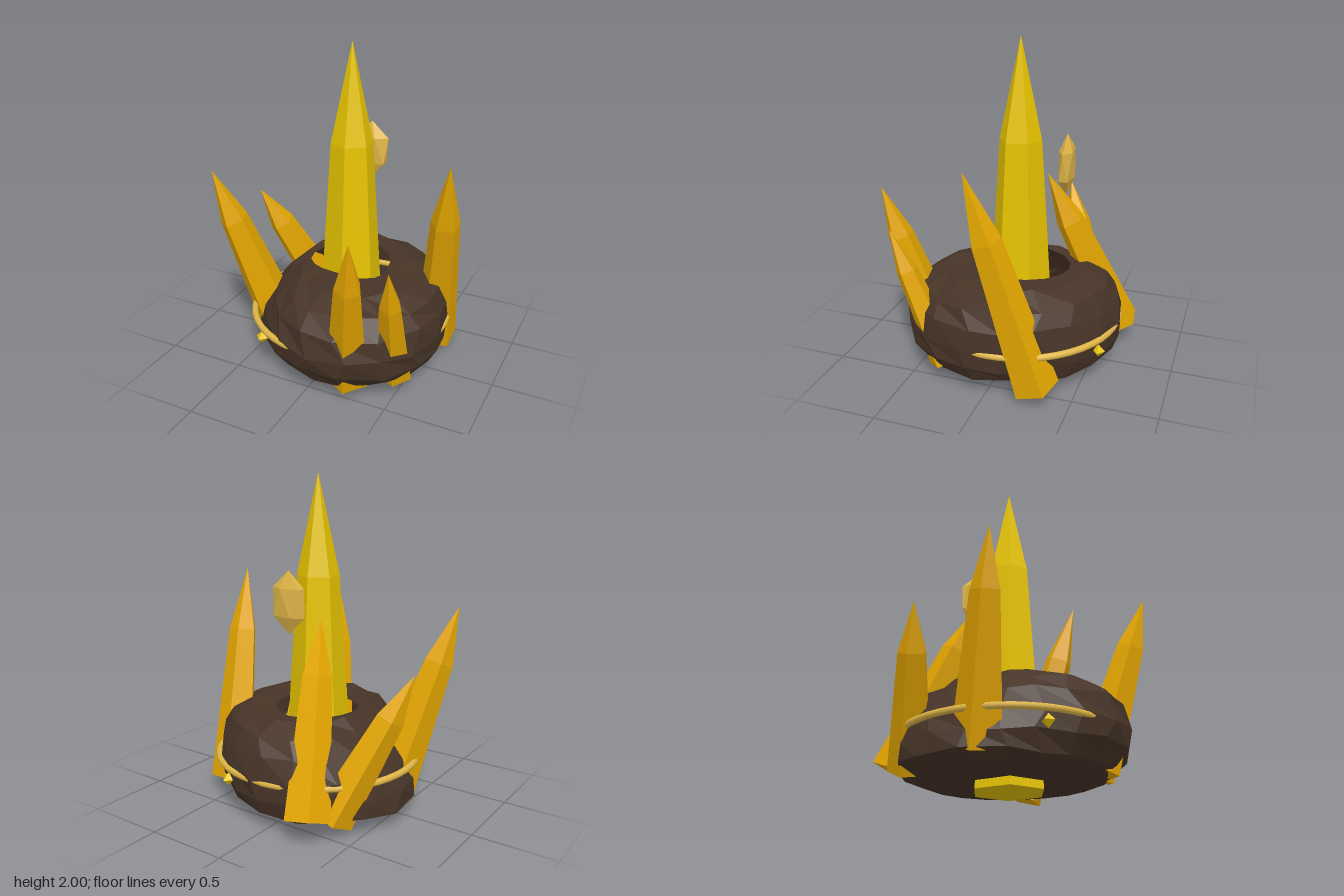
import * as THREE from 'three';

const mat = (name, color) => {
  const m = new THREE.MeshStandardMaterial({ color });
  m.name = name;
  return m;
};

// Faceted copy of a geometry: every face gets its own normal
const facet = (geo) => {
  const g = geo.toNonIndexed();
  g.computeVertexNormals();
  return g;
};

// Pointed crystal along +y: base disc, tapered shaft, shoulder, tip
const crystalGeometry = (length, baseR, shoulderR, shoulderAt, sides) =>
  facet(new THREE.LatheGeometry([
    new THREE.Vector2(0, 0),
    new THREE.Vector2(baseR, 0),
    new THREE.Vector2(shoulderR, length * shoulderAt),
    new THREE.Vector2(0, length),
  ], sides));

// Hollow boulder, from the floor up to the rim of its opening:
// height, then the radius towards +x, +z, -x and -z
const LEVELS = [
  [0.045, 0, 0, 0, 0],
  [0.05, 0.45, 0.44, 0.56, 0.51],
  [0.10, 0.57, 0.55, 0.65, 0.62],
  [0.20, 0.64, 0.64, 0.63, 0.65],
  [0.32, 0.65, 0.67, 0.58, 0.655],
  [0.45, 0.63, 0.645, 0.48, 0.62],
  [0.55, 0.58, 0.54, 0.39, 0.57],
  [0.61, 0.43, 0.40, 0.31, 0.46],
  [0.605, 0.25, 0.15, 0.27, 0.33],
];

// Extra fullness of the boulder on its diagonals
const diagonal = (s, c) => {
  if (c > 0) return s > 0 ? 0.15 : -0.24;
  return s > 0 ? -0.09 : 0.02;
};

function boulderGeometry() {
  const seg = 18, rows = LEVELS.length;
  const geo = new THREE.LatheGeometry(LEVELS.map((l, j) => new THREE.Vector2(1, j)), seg);
  const p = geo.attributes.position;
  for (let i = 0; i <= seg; i++) {
    for (let j = 0; j < rows; j++) {
      const k = i % seg, level = LEVELS[j];
      const bump = Math.sin(k * 12.9 + j * 7.3);
      const a = (k / seg) * Math.PI * 2 + 0.06 * Math.sin(k * 5.1 + j * 3.7);
      const s = Math.sin(a), c = Math.cos(a);
      const rx = s > 0 ? level[1] : level[3], rz = c > 0 ? level[2] : level[4];
      const full = 1 + diagonal(s, c) * Math.abs(s * c);
      const r = (rx * s * s + rz * c * c) * full * (1 + 0.015 * bump);
      const lift = j > 1 && j < rows - 1 ? 0.012 * Math.sin(k * 4.3 + j * 9.1) : 0;
      p.setXYZ(i * rows + j, 0.03 + r * s, level[0] + lift, -0.02 + r * c);
    }
  }
  return facet(geo);
}

// Outer shards: tip, base, base radius, shoulder radius, turn about the axis
const SHARDS = [
  ['rightRearShard', [-0.70, 0.93, -0.16], [-0.34, 0.1, -0.44], 0.13, 0.085, 0],
  ['rightFrontShard', [-0.71, 1.23, 0.35], [-0.42, 0.13, 0.09], 0.15, 0.09, 0],
  ['rearShard', [-0.08, 1.17, -0.17], [-0.29, 0.13, -0.61], 0.135, 0.09, 2.6],
  ['leftShard', [0.68, 1.38, 0.07], [0.53, 0.08, -0.29], 0.14, 0.09, 0.94],
  ['frontShard', [0.37, 1.13, 0.72], [0.23, 0.1, 0.42], 0.135, 0.08, 5.2],
  ['smallFrontShard', [0.54, 0.94, 0.59], [0.48, 0.12, 0.29], 0.105, 0.065, 6.5],
];

export function createModel() {
  const rock = mat('dark rock', 0x473427);
  rock.side = THREE.DoubleSide;
  const yellow = mat('yellow crystal', 0xe6c300);
  const amber = mat('amber crystal', 0xe4a600);
  const pale = mat('pale gold', 0xe0b647);

  const group = new THREE.Group();
  group.name = 'crystalCluster';
  const add = (name, geo, material, x = 0, y = 0, z = 0) => {
    const m = new THREE.Mesh(geo, material);
    m.name = name;
    m.position.set(x, y, z);
    group.add(m);
    return m;
  };

  add('boulder', boulderGeometry(), rock);

  // Tall central crystal running right through the boulder
  const cx = 0.035, cz = -0.035;
  add('centralCrystal', crystalGeometry(2, 0.22, 0.128, 0.7, 6), yellow, cx, 0, cz).rotation.y = 0.1;

  // Ring of leaning shards
  const up = new THREE.Vector3(0, 1, 0);
  for (const [name, tip, base, baseR, shoulderR, turn] of SHARDS) {
    const axis = new THREE.Vector3(...tip).sub(new THREE.Vector3(...base));
    const geo = crystalGeometry(axis.length(), baseR, shoulderR, 0.7, 5);
    geo.rotateY(turn);
    add(name, geo, amber, ...base).quaternion.setFromUnitVectors(up, axis.normalize());
  }

  // Band half sunk in the boulder wall, with small studs below it
  const band = new THREE.TorusGeometry(0.62, 0.02, 8, 48);
  band.rotateX(Math.PI / 2);
  add('band', band, pale, cx, 0.305, cz);
  for (const deg of [127, 294]) {
    const a = THREE.MathUtils.degToRad(deg);
    add('stud', new THREE.OctahedronGeometry(0.04), yellow,
      cx + 0.62 * Math.cos(a), 0.235, cz + 0.62 * Math.sin(a));
  }

  // Flat gem floating behind the central crystal
  const gem = new THREE.IcosahedronGeometry(1);
  gem.rotateZ(-0.5536);
  gem.scale(0.125, 0.185, 0.048);
  add('floatingGem', gem, pale, 0.04, 1.275, -0.32);

  return group;
}
